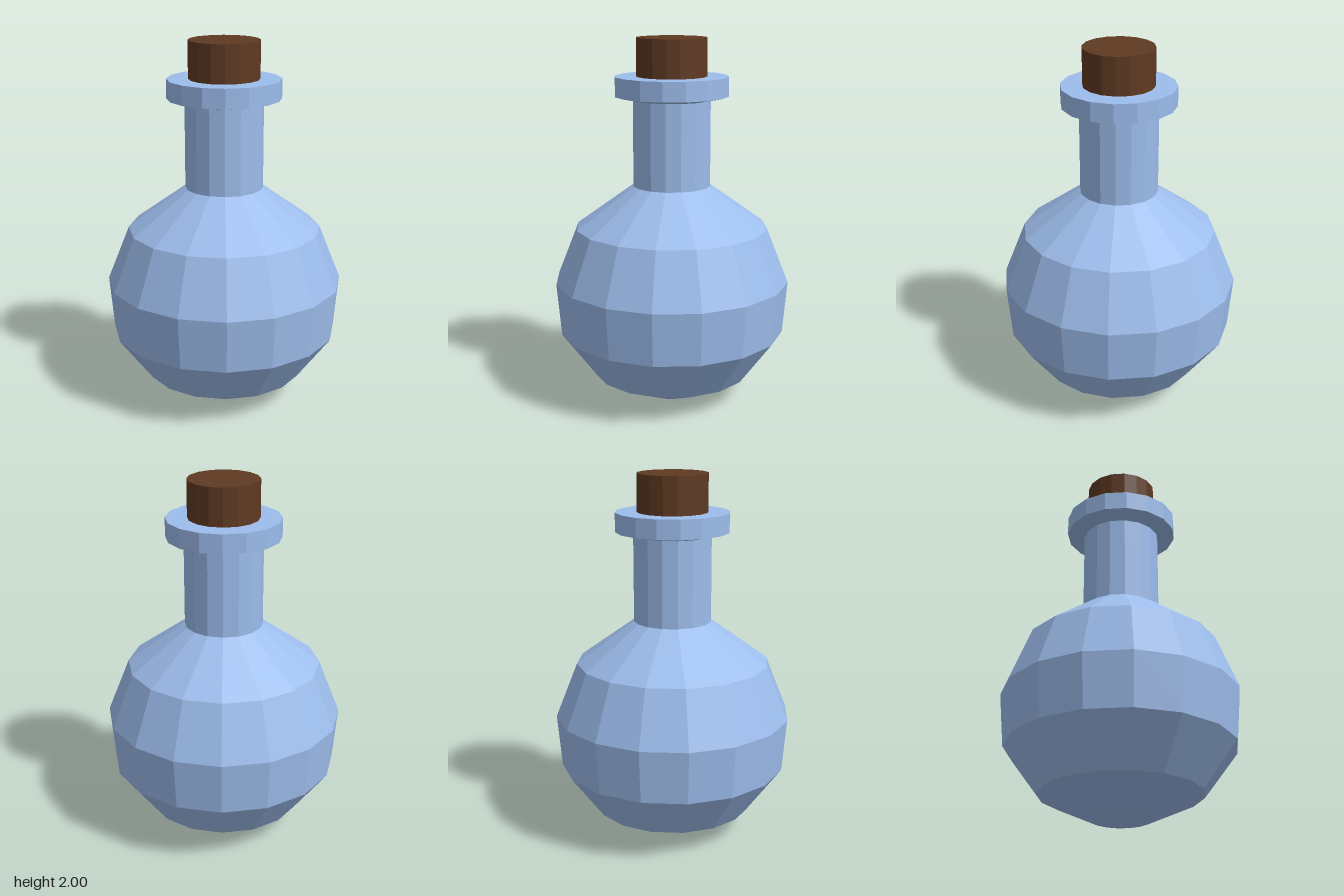
import * as THREE from 'three';

const SIDES = 16;

// Faceted turned part from [radius, height] pairs, listed bottom to top
function turned(name, profile, color) {
  const points = profile.map(([r, y]) => new THREE.Vector2(r, y));
  const geometry = new THREE.LatheGeometry(points, SIDES);
  const material = new THREE.MeshStandardMaterial({ color, flatShading: true });
  const mesh = new THREE.Mesh(geometry, material);
  mesh.name = name;
  return mesh;
}

export function createModel() {
  const glass = 0x9dbdec;
  const group = new THREE.Group();
  group.name = 'corkedFlask';

  // Round body with a small flat base
  group.add(turned('body', [
    [0, 0], [0.16, 0], [0.44, 0.13], [0.625, 0.38],
    [0.65, 0.67], [0.53, 0.97], [0.213, 1.2],
  ], glass));

  // Straight neck
  group.add(turned('neck', [[0.213, 1.2], [0.213, 1.67]], glass));

  // Collar with a sloped underside and flat top
  group.add(turned('lip', [
    [0.213, 1.67], [0.31, 1.69], [0.31, 1.795], [0, 1.795],
  ], glass));

  // Stopper
  group.add(turned('cork', [[0.193, 1.795], [0.193, 2], [0, 2]], 0x5f3a22));

  return group;
}
